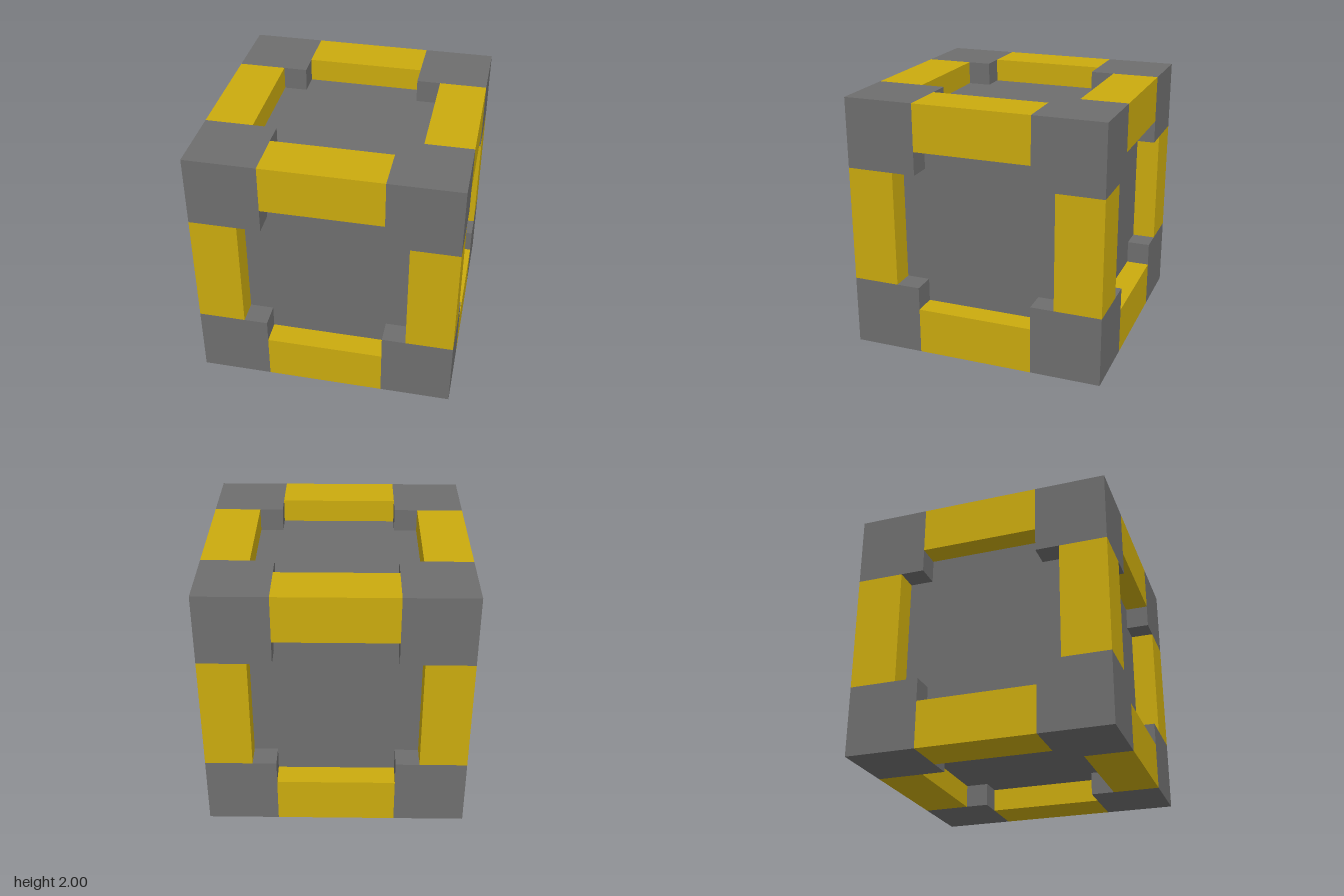
import * as THREE from 'three';

const CORNER = 6 / 11; // corner block size
const BEAM = 4 / 11;   // beam thickness
const RECESS = 2 / 11; // depth of the panels behind the frame

export function createModel() {
  const grey = new THREE.MeshStandardMaterial({ color: 0x6e6e6e });
  grey.name = 'grey';
  const yellow = new THREE.MeshStandardMaterial({ color: 0xcaaa0e });
  yellow.name = 'yellow';

  const crate = new THREE.Group();
  crate.name = 'crate';
  crate.position.y = 1;

  const box = (name, size, pos, material) => {
    const mesh = new THREE.Mesh(new THREE.BoxGeometry(...size), material);
    mesh.name = name;
    mesh.position.set(...pos);
    crate.add(mesh);
  };

  // Inner body with six recessed panels
  const body = 2 - 2 * RECESS;
  box('body', [body, body, body], [0, 0, 0], grey);

  // Eight corner blocks
  const c = 1 - CORNER / 2;
  for (const x of [-c, c])
    for (const y of [-c, c])
      for (const z of [-c, c])
        box('cornerBlock', [CORNER, CORNER, CORNER], [x, y, z], grey);

  // Twelve edge beams, four along each axis
  const b = 1 - BEAM / 2;
  for (let axis = 0; axis < 3; axis++)
    for (const u of [-b, b])
      for (const v of [-b, b]) {
        const size = [BEAM, BEAM, BEAM];
        const pos = [0, 0, 0];
        size[axis] = 2 - 2 * CORNER;
        pos[(axis + 1) % 3] = u;
        pos[(axis + 2) % 3] = v;
        box('edgeBeam', size, pos, yellow);
      }

  const model = new THREE.Group();
  model.name = 'model';
  model.add(crate);
  return model;
}
